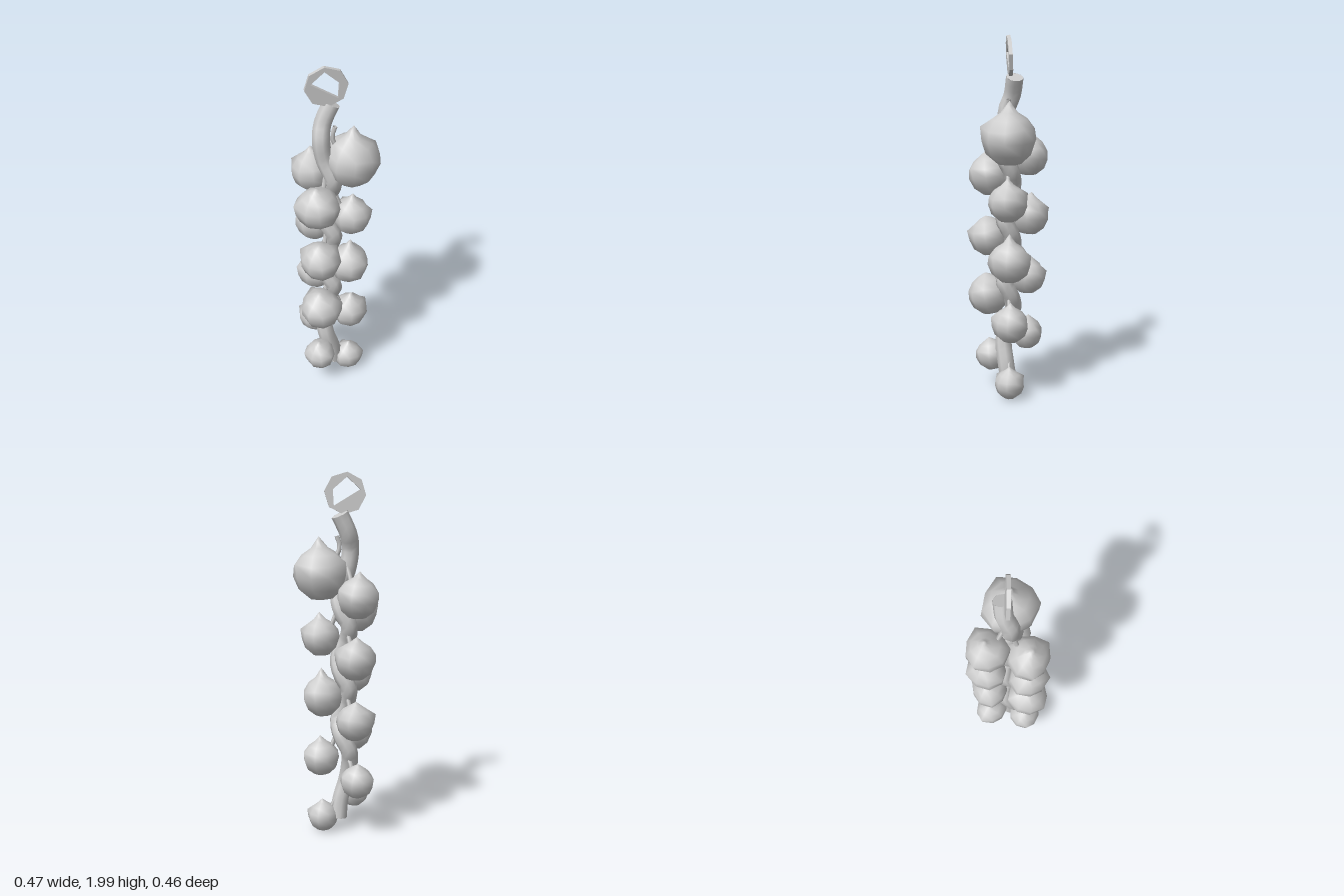
import * as THREE from 'three';
import { mergeVertices } from 'three/addons/utils/BufferGeometryUtils.js';

const material = new THREE.MeshStandardMaterial({ color: 0xcccccc, side: THREE.DoubleSide });
const V = (x, y, z) => new THREE.Vector3(x, y, z);

function add(parent, name, geometry) {
  const mesh = new THREE.Mesh(geometry, material);
  mesh.name = name;
  parent.add(mesh);
  return mesh;
}

// Onion-shaped lathe of unit radius; the shoulder ring has a few peeling skin points
const SEGMENTS = 9;
function bulbGeometry(seed, tip) {
  const profile = [[0, -0.95], [0.45, -0.87], [0.85, -0.52], [1.01, -0.05], [0.95, 0.35],
    [0.68, 0.74], [0.32, 0.98], [0.13, 0.98 + (tip - 0.98) * 0.6], [0, tip]];
  const lathe = new THREE.LatheGeometry(profile.map(([x, y]) => new THREE.Vector2(x, y)), SEGMENTS);
  const p = lathe.attributes.position;
  for (let i = 0; i < p.count; i++) {
    const ring = i % profile.length;
    const column = Math.floor(i / profile.length) % SEGMENTS;
    const a = column / SEGMENTS * Math.PI * 2;
    const peel = ring === 4 && (column + seed) % 3 === 0 ? 0.14 : 0;
    const k = 1 + peel + 0.03 * Math.sin(2 * a + seed) + 0.025 * Math.sin(3 * a + seed * 2 + ring);
    p.setXYZ(i, p.getX(i) * k, p.getY(i) + peel * 0.9, p.getZ(i) * k);
  }
  // Weld the seam so the shading runs smoothly around the bulb
  lathe.deleteAttribute('normal');
  lathe.deleteAttribute('uv');
  const welded = mergeVertices(lathe, 1e-4);
  welded.computeVertexNormals();
  return welded;
}

// Bulb that leans outward, with a thin stalk from its inner shoulder up to the stem
function addBulb(parent, [x, y, z, r, tip], seed, lean) {
  const out = V(x + 0.04, 0, z).normalize();
  const bulb = add(parent, 'bulb', bulbGeometry(seed, tip));
  bulb.position.set(x, y, z);
  bulb.scale.setScalar(r);
  bulb.quaternion.setFromUnitVectors(V(0, 1, 0), V(out.x * lean, 1, out.z * lean).normalize());
  const stalk = new THREE.CatmullRomCurve3([
    V(x - out.x * r * 0.5, y + r * 0.5, z - out.z * r * 0.5),
    V(x - out.x * r * 0.7, y + r, z - out.z * r * 0.7),
    V(-0.035 + out.x * 0.035, y + r * 1.4, out.z * 0.03),
  ]);
  add(parent, 'stalk', new THREE.TubeGeometry(stalk, 4, 0.013, 5));
}

export function createModel() {
  const model = new THREE.Group();
  model.name = 'hangingBulbString';

  // Central stem: bent top, twining middle, slanting foot
  const stemPoints = [V(-0.015, 1.78, -0.033), V(-0.06, 1.68, -0.02), V(-0.073, 1.6, 0.01),
    V(-0.055, 1.48, 0.01)];
  const TURN = Math.PI * 2 / 0.35;
  for (let y = 1.36; y > 0.46; y -= 0.0875) {
    stemPoints.push(V(-0.038 + 0.033 * Math.cos(TURN * (y - 0.63)), y,
      0.03 * Math.cos(TURN * (y - 0.69))));
  }
  stemPoints.push(V(-0.072, 0.42, 0), V(-0.055, 0.3, 0.028), V(-0.02, 0.18, 0.015), V(-0.01, 0.08, 0));
  const stemPath = new THREE.CatmullRomCurve3(stemPoints);
  add(model, 'stem', new THREE.TubeGeometry(stemPath, 52, 0.047, 8));
  for (const [t, sign] of [[0, -1], [1, 1]]) {
    const cap = add(model, 'stemEnd', new THREE.CircleGeometry(0.047, 8));
    cap.position.copy(stemPath.getPointAt(t));
    cap.quaternion.setFromUnitVectors(V(0, 0, 1), stemPath.getTangentAt(t).multiplyScalar(sign));
  }

  // Hanging loop: flat eight-sided ring with an uneven four-cornered opening
  const outline = [];
  for (let i = 0; i < 8; i++) {
    const a = i * Math.PI / 4 + 0.1;
    outline.push(new THREE.Vector2(Math.cos(a) * 0.111, Math.sin(a) * 0.111));
  }
  const loopShape = new THREE.Shape(outline);
  loopShape.holes.push(new THREE.Path([[-0.08, 0.02], [-0.01, 0.085], [0.065, 0.02], [0.06, -0.065]]
    .map(([x, y]) => new THREE.Vector2(x, y))));
  const loopGeometry = new THREE.ExtrudeGeometry(loopShape, { depth: 0.02, bevelEnabled: false });
  loopGeometry.translate(0, 0, -0.01);
  const loop = add(model, 'hangingLoop', loopGeometry);
  loop.position.set(-0.043, 1.889, -0.005);
  loop.rotation.set(0.05, 0.06, 0);

  // Three columns of bulbs, shrinking downward: x, y, z, radius, tip height in radii
  const leftBulbs = [[0.087, 1.46, -0.003, 0.146, 1.4], [0.088, 1.115, 0.005, 0.105, 1.35],
    [0.077, 0.785, -0.003, 0.113, 1.45], [0.086, 0.435, -0.008, 0.1, 1.3],
    [0.076, 0.087, -0.003, 0.084, 1.25]];
  const frontBulbs = [[-0.1, 1.24, 0.103, 0.116, 1.18], [-0.09, 0.895, 0.107, 0.109, 1.1],
    [-0.09, 0.56, 0.11, 0.115, 1.12], [-0.097, 0.2, 0.095, 0.088, 1.18]];
  const backBulbs = [[-0.112, 1.345, -0.108, 0.113, 1.3], [-0.1, 1.01, -0.117, 0.108, 1.25],
    [-0.097, 0.665, -0.107, 0.102, 1.2], [-0.11, 0.325, -0.105, 0.091, 1.2]];
  leftBulbs.forEach((b, i) => addBulb(model, b, i, 0.05));
  frontBulbs.forEach((b, i) => addBulb(model, b, i + 5, 0.18));
  backBulbs.forEach((b, i) => addBulb(model, b, i + 9, 0.1));
  return model;
}
